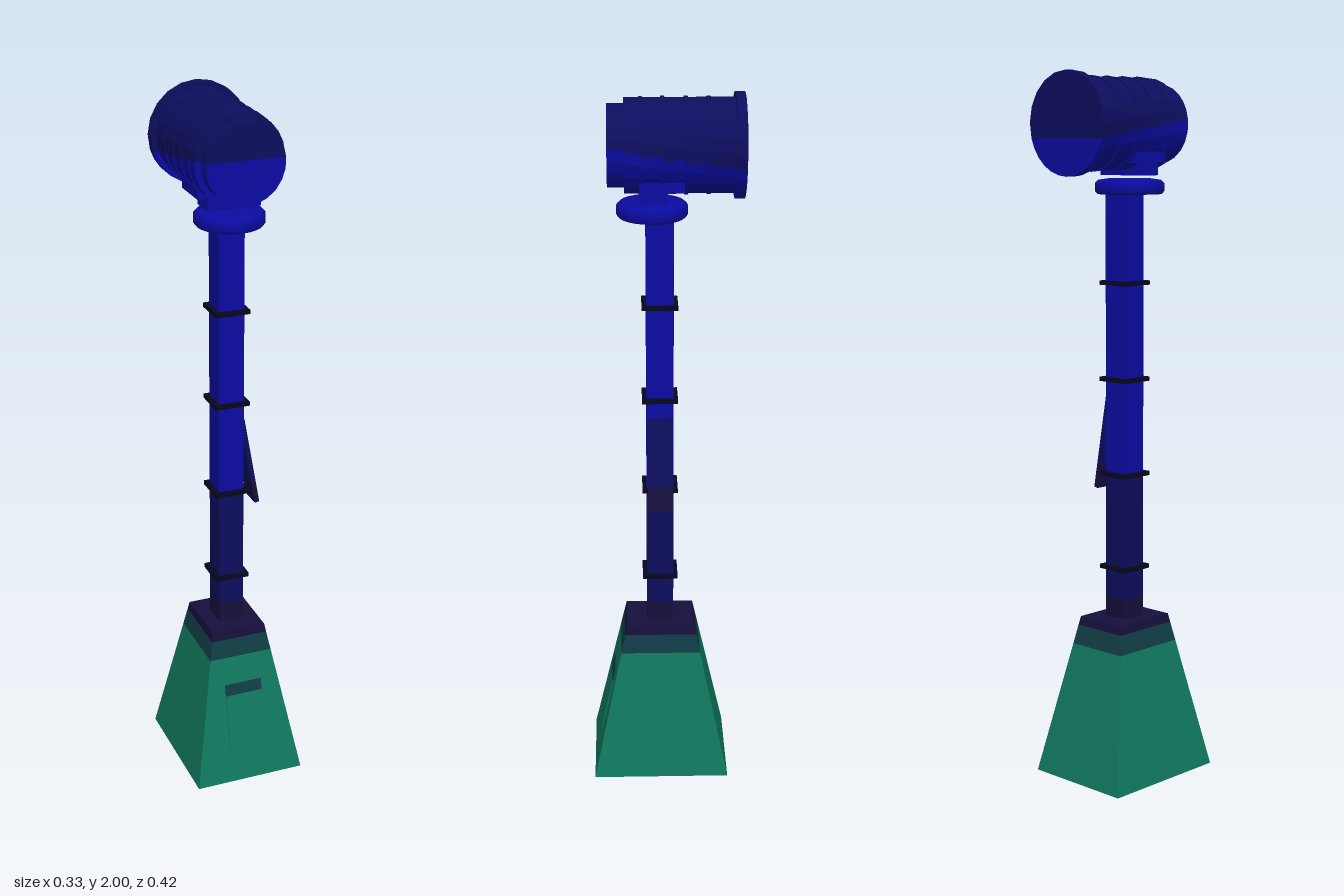
import * as THREE from 'three';

const mat = (name, color) => Object.assign(new THREE.MeshStandardMaterial({ color }), { name });

export function createModel() {
  const green = mat('green', 0x10785e);
  const teal = mat('dark teal', 0x103c44);
  const blue = mat('blue', 0x0b0ba2);
  const navy = mat('navy', 0x0d0d5e);
  const dusk = mat('dusk', 0x150f3c);
  const black = mat('blue black', 0x06061e);

  const model = new THREE.Group();
  const CZ = 0.015; // z of the column's centre line

  const add = (name, geometry, material, x = 0, y = 0, z = 0, parent = model) => {
    const mesh = new THREE.Mesh(geometry, material);
    mesh.name = name;
    mesh.position.set(x, y, z);
    parent.add(mesh);
    return mesh;
  };
  const box = (name, material, w, h, d, x, y, z, parent) =>
    add(name, new THREE.BoxGeometry(w, h, d), material, x, y, z, parent);

  // Tapered pedestal in three coloured bands
  const baseX = (y) => 0.163 - 0.18 * y;
  const baseZ = (y) => 0.196 - 0.213 * y;
  const band = (name, material, y0, y1) => {
    let g = new THREE.BoxGeometry(2, y1 - y0, 2);
    const p = g.attributes.position;
    for (let i = 0; i < p.count; i++) {
      const y = p.getY(i) > 0 ? y1 : y0;
      p.setXYZ(i, p.getX(i) * baseX(y), y, p.getZ(i) * baseZ(y));
    }
    g = g.toNonIndexed();
    g.computeVertexNormals();
    add(name, g, material, 0, 0, CZ);
  };
  band('pedestal', green, 0, 0.38);
  band('pedestalCollar', teal, 0.38, 0.435);
  band('pedestalTop', dusk, 0.435, 0.46);

  // Access hatch lying on the sloping front
  const hatch = new THREE.Group();
  hatch.name = 'hatch';
  hatch.position.set(0, 0.2, CZ + baseZ(0.2));
  hatch.rotation.x = -Math.atan(0.213);
  model.add(hatch);
  box('hatchDoor', green, 0.112, 0.165, 0.006, 0, -0.016, 0, hatch);
  box('hatchHeader', teal, 0.112, 0.034, 0.006, 0, 0.0835, 0, hatch);

  // Square column, darker towards the foot
  for (const [name, m, y0, y1] of [
    ['columnFoot', dusk, 0.45, 0.52],
    ['columnLower', navy, 0.52, 0.88],
    ['columnUpper', blue, 0.88, 1.675],
  ]) box(name, m, 0.074, y1 - y0, 0.076, 0, (y0 + y1) / 2, CZ);

  // Thin square bands around the column
  for (let i = 0; i < 4; i++) box('columnBand', black, 0.1, 0.012, 0.1, 0, 0.606 + i * 0.272, CZ);

  // Slanted flap on the left side
  const flap = new THREE.Group();
  flap.name = 'flap';
  flap.position.set(0.057, 0.963, CZ);
  flap.rotation.z = 0.175;
  model.add(flap);
  box('flapUpper', navy, 0.014, 0.2, 0.07, 0, 0.035, 0, flap);
  box('flapTip', dusk, 0.014, 0.07, 0.07, 0, -0.1, 0, flap);

  // Rounded turntable on the column
  const rim = [[0, 0], [0.09, 0], [0.097, 0.008], [0.097, 0.03], [0.088, 0.039], [0.06, 0.043], [0, 0.043]];
  add('turntable', new THREE.LatheGeometry(rim.map(([r, y]) => new THREE.Vector2(r, y)), 24),
    blue, 0, 1.668, 0.035);

  // Saddle under the lamp
  box('saddleFoot', blue, 0.15, 0.045, 0.075, 0, 1.7425, 0.033);
  box('saddle', blue, 0.205, 0.03, 0.12, 0, 1.77, 0.01);

  // Barrel section, split by a chord into a dark upper and a bright lower part
  const AXIS = 1.86;
  const section = (name, r, z0, z1, cut) => {
    const a = Math.asin(cut / r);
    for (const [part, m, from, to] of [
      ['Upper', navy, a, Math.PI - a],
      ['Lower', blue, Math.PI - a, 2 * Math.PI + a],
    ]) {
      const points = [];
      for (let i = 0; i <= 12; i++) {
        const t = from + ((to - from) * i) / 12;
        points.push(new THREE.Vector2(r * Math.cos(t), r * Math.sin(t)));
      }
      const g = new THREE.ExtrudeGeometry(new THREE.Shape(points), { depth: z1 - z0, bevelEnabled: false });
      add(name + part, g, m, 0, AXIS, z0);
    }
  };
  section('lampFront', 0.11, 0.11, 0.155, 0.012);
  const edges = [0.11, 0.066, 0.007, -0.055, -0.115, -0.185];
  for (let i = 0; i < 5; i++) section('barrel', 0.126, edges[i + 1], edges[i], 0.008 - i * 0.01);
  for (let i = 1; i < 5; i++) section('barrelRib', 0.129, edges[i] - 0.005, edges[i] + 0.005, 0.008 - i * 0.01);
  section('rearFlange', 0.141, -0.211, -0.185, -0.04);

  return model;
}
